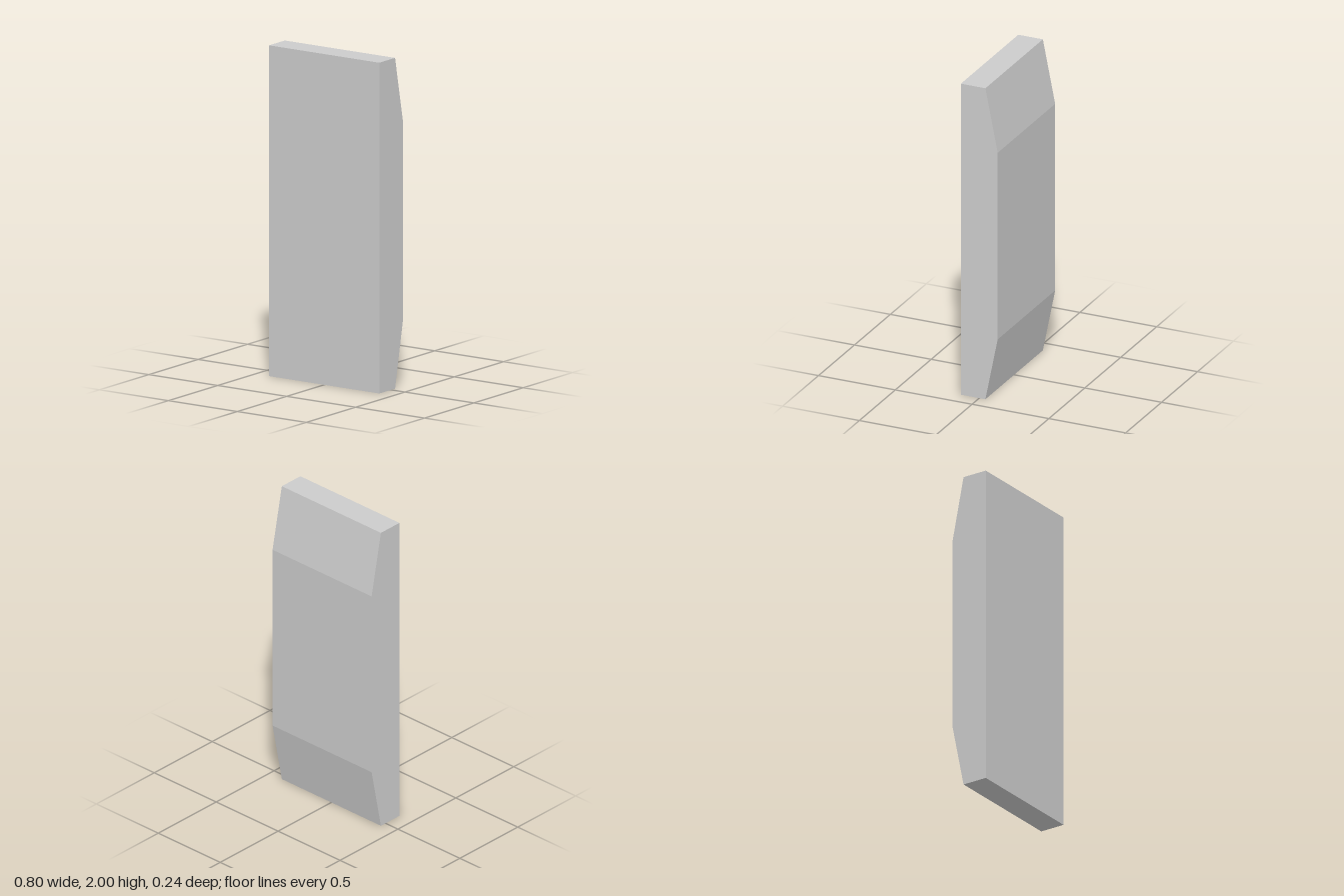
import * as THREE from 'three';

const WIDTH = 0.8;

export function createModel() {
  const group = new THREE.Group();
  group.name = 'slab';

  // Side profile (z, y): flat front, back tapering towards both ends
  const profile = new THREE.Shape([
    [0.12, 0], [0.12, 2], [-0.04, 2], [-0.12, 1.6], [-0.12, 0.4], [-0.04, 0],
  ].map(([z, y]) => new THREE.Vector2(z, y)));

  // Extrude across the width, then turn the profile into the side plane
  const geometry = new THREE.ExtrudeGeometry(profile, { depth: WIDTH, bevelEnabled: false });
  geometry.translate(0, 0, -WIDTH / 2);
  geometry.rotateY(-Math.PI / 2);

  const panel = new THREE.Mesh(
    geometry,
    new THREE.MeshStandardMaterial({ color: 0xcccccc, flatShading: true }),
  );
  panel.name = 'taperedPanel';
  group.add(panel);
  return group;
}
